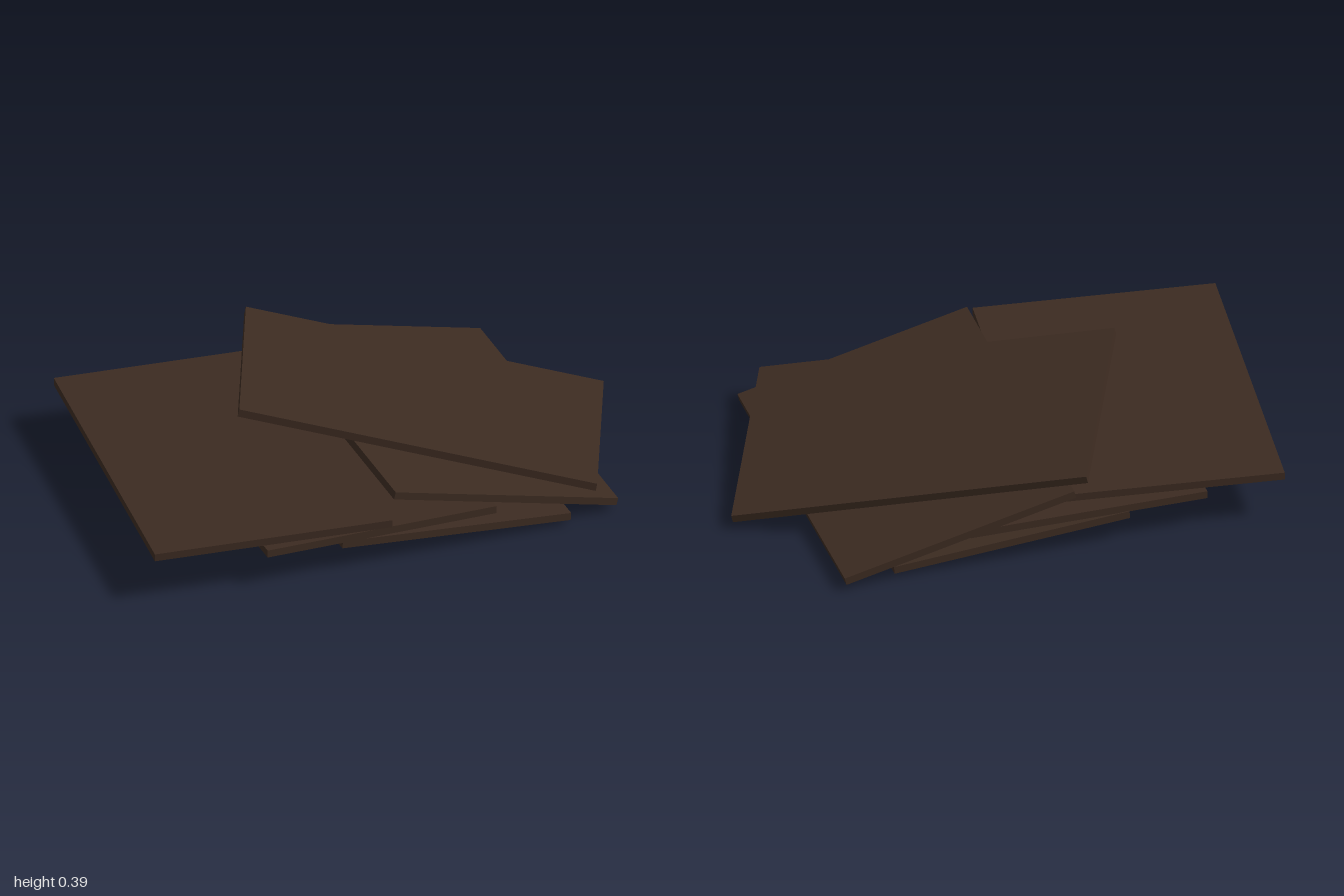
import * as THREE from 'three';

const LENGTH = 1.24, WIDTH = 0.837, THICK = 0.027;
const BATTEN = { length: 1.11, width: 0.165, thick: 0.026, offset: 0.234 };

// One entry per board: centre of its top face, direction across, direction along
const BOARDS = [
  { name: 'bottomBoard', at: [0.135, 0.08, 0.035], across: [0.82, -0.07, 0.075], along: [-0.11, 0, 1.23] },
  { name: 'secondBoard', at: [-0.14, 0.138, 0.015], across: [0.82, -0.008, 0.075], along: [-0.11, 0, 1.23] },
  { name: 'leaningBoard', at: [0.33, 0.148, 0.025], across: [0.81, -0.2, 0.075], along: [-0.11, 0, 1.23] },
  { name: 'flatBoard', at: [-0.47, 0.19, -0.01], across: [0.82, 0, 0.165], along: [-0.24, 0, 1.21] },
  { name: 'topBoard', at: [0.27, 0.22, 0.02], across: [0.4, -0.08, -0.73], along: [1.06, -0.26, 0.61] },
];

export function createModel() {
  const darkWood = new THREE.MeshStandardMaterial({ color: 0x3c2b21 });
  darkWood.name = 'darkWood';

  const panelGeometry = new THREE.BoxGeometry(WIDTH, THICK, LENGTH);
  const battenGeometry = new THREE.BoxGeometry(BATTEN.width, BATTEN.thick, BATTEN.length);

  const model = new THREE.Group();
  model.name = 'boardPile';

  for (const { name, at, across, along } of BOARDS) {
    const board = new THREE.Group();
    board.name = name;

    // Panel, its top face level with the group's origin
    const panel = new THREE.Mesh(panelGeometry, darkWood);
    panel.name = 'panel';
    panel.position.y = -THICK / 2;
    board.add(panel);

    // Two battens along the underside
    for (const side of [-1, 1]) {
      const batten = new THREE.Mesh(battenGeometry, darkWood);
      batten.name = 'batten';
      batten.position.set(side * BATTEN.offset, -THICK - BATTEN.thick / 2, 0);
      board.add(batten);
    }

    // Tilt and turn the board to lie along its two directions
    const z = new THREE.Vector3(...along).normalize();
    const y = new THREE.Vector3().crossVectors(z, new THREE.Vector3(...across)).normalize();
    const x = new THREE.Vector3().crossVectors(y, z);
    board.quaternion.setFromRotationMatrix(new THREE.Matrix4().makeBasis(x, y, z));
    board.position.set(...at);
    model.add(board);
  }
  return model;
}
